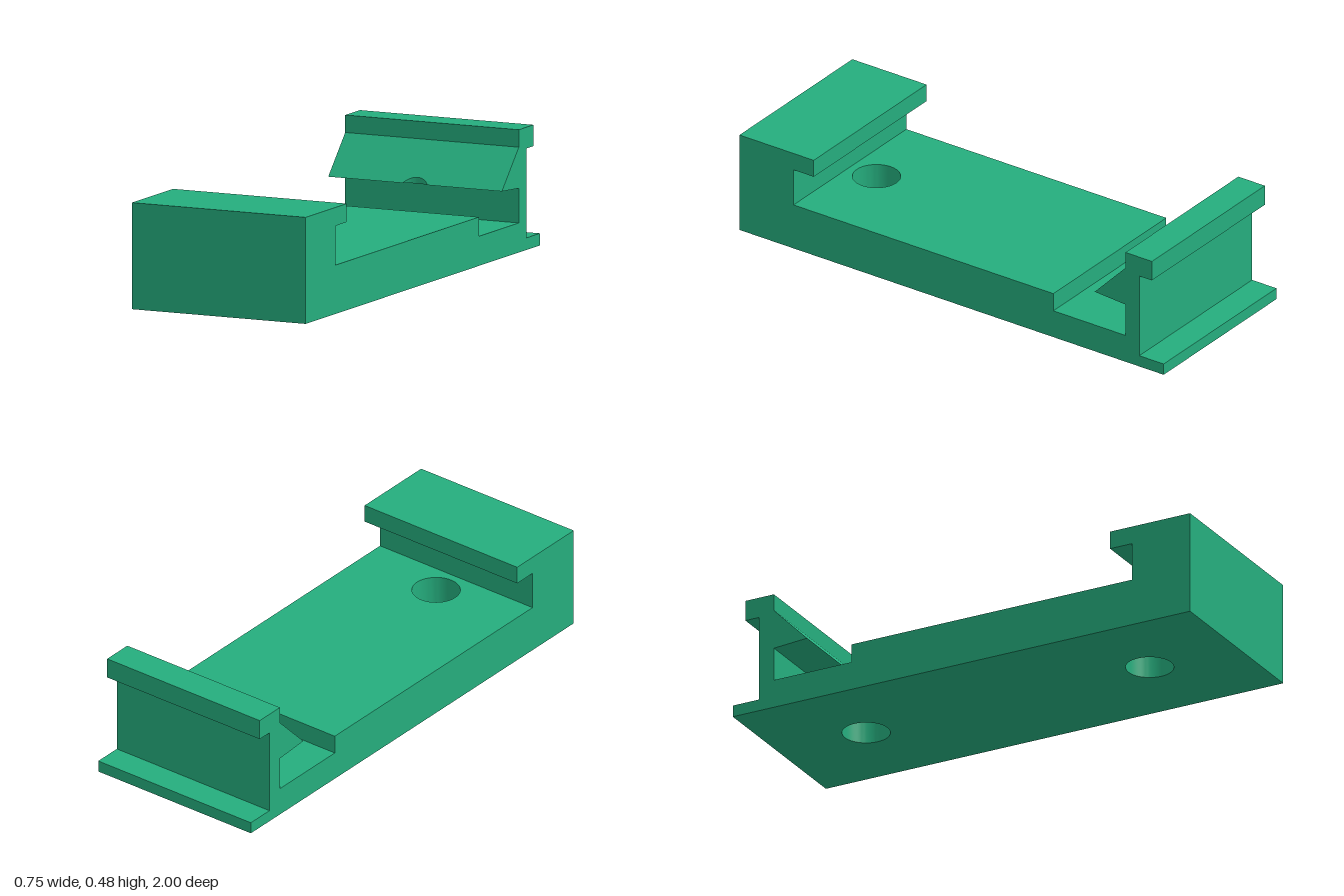
import * as THREE from 'three';
import { toCreasedNormals } from 'three/addons/utils/BufferGeometryUtils.js';

const HALF = 0.373;      // half width of the clip
const HOLE_R = 0.093;    // screw hole radius
const HOLE_Z = 0.62;     // screw hole distance from the middle

// Side profile of [z, y] points, extruded across the full width
function profileGeometry(points) {
  const shape = new THREE.Shape(points.map(([z, y]) => new THREE.Vector2(z, y)));
  const geo = new THREE.ExtrudeGeometry(shape, { depth: 2 * HALF, bevelEnabled: false });
  return geo.translate(0, 0, -HALF).rotateY(-Math.PI / 2);
}

// Flat plate from zBack to zFront with one round vertical hole
function plateGeometry(zBack, zFront, height, holeZ) {
  const shape = new THREE.Shape([
    new THREE.Vector2(-HALF, -zFront), new THREE.Vector2(HALF, -zFront),
    new THREE.Vector2(HALF, -zBack), new THREE.Vector2(-HALF, -zBack),
  ]);
  const hole = new THREE.Path();
  hole.absarc(0, -holeZ, HOLE_R, 0, Math.PI * 2, true);
  shape.holes.push(hole);
  const geo = new THREE.ExtrudeGeometry(shape, { depth: height, bevelEnabled: false, curveSegments: 32 });
  return toCreasedNormals(geo.rotateX(-Math.PI / 2), 0.6);
}

// Triangular catch; its tip is cut by a round tool clearance above the hole
function catchGeometry() {
  const wall = -0.82, tip = -0.675, tipY = 0.26, topY = 0.41, bottomY = 0.25;
  const notchR = 0.077;
  const notchHalf = Math.sqrt(notchR ** 2 - (HOLE_Z + tip) ** 2);
  const xs = [-HALF];
  for (let i = 0; i <= 16; i++) xs.push(notchHalf * (i / 8 - 1));
  xs.push(HALF);
  const sections = xs.map((x) => {
    const inNotch = Math.abs(x) < notchHalf;
    const z = inNotch ? -HOLE_Z - Math.sqrt(notchR ** 2 - x * x) : tip;
    const t = (z - tip) / (wall - tip);
    return [
      [x, topY, wall], [x, tipY + t * (topY - tipY), z],
      [x, tipY + t * (bottomY - tipY), z], [x, bottomY, wall],
    ];
  });
  const pos = [];
  const tri = (a, b, c) => pos.push(...a, ...b, ...c);
  for (let i = 0; i < sections.length - 1; i++) {
    const s = sections[i], n = sections[i + 1];
    for (let j = 0; j < 4; j++) {
      const k = (j + 1) % 4;
      tri(s[j], s[k], n[k]);
      tri(s[j], n[k], n[j]);
    }
  }
  const first = sections[0], last = sections[sections.length - 1];
  tri(first[0], first[3], first[1]);
  tri(last[0], last[1], last[3]);
  const geo = new THREE.BufferGeometry();
  geo.setAttribute('position', new THREE.Float32BufferAttribute(pos, 3));
  geo.computeVertexNormals();
  return geo;
}

export function createModel() {
  const group = new THREE.Group();
  group.name = 'railClip';
  const green = new THREE.MeshStandardMaterial({ color: 0x25ad7d });
  green.name = 'green';
  const add = (name, geo) => {
    const mesh = new THREE.Mesh(geo, green);
    mesh.name = name;
    group.add(mesh);
  };

  // Base: thick main plate and the thinner step behind it
  add('mainPlate', plateGeometry(-0.48, 0.745, 0.19, HOLE_Z));
  add('rearStep', plateGeometry(-0.82, -0.48, 0.115, -HOLE_Z));

  // Fixed jaw at the front with its overhanging lip
  add('frontJaw', profileGeometry([
    [0.745, 0], [1, 0], [1, 0.415], [0.65, 0.415], [0.65, 0.343], [0.745, 0.343],
  ]));

  // Springy rear wall with foot and finger ledge
  add('rearLatch', profileGeometry([
    [-1, 0], [-0.82, 0], [-0.82, 0.478], [-0.945, 0.478],
    [-0.945, 0.395], [-0.885, 0.395], [-0.885, 0.047], [-1, 0.047],
  ]));
  add('latchCatch', catchGeometry());

  return group;
}
